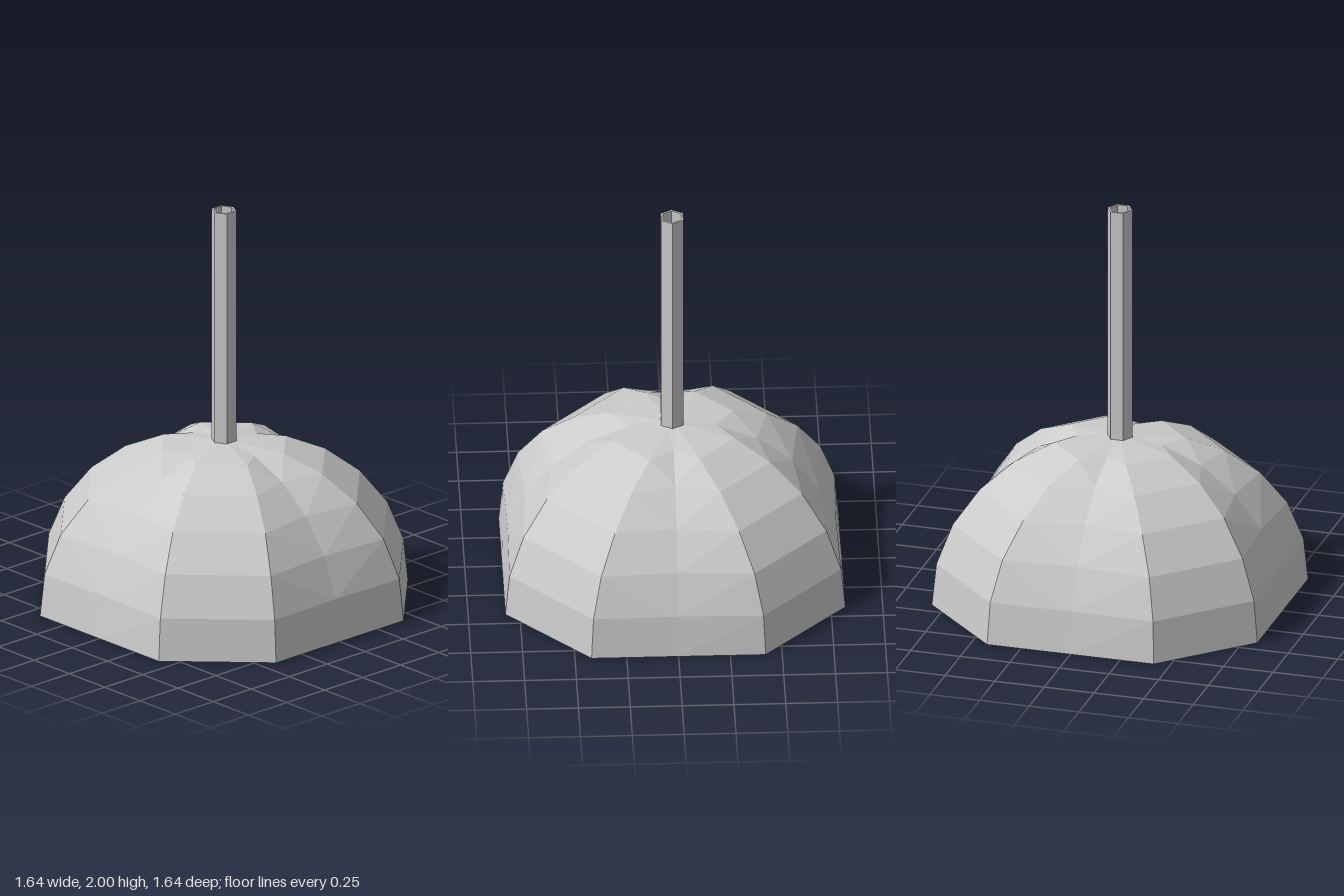
import * as THREE from 'three';

const R = 0.82; // dome radius
const HOLE = 0.053; // opening under the tube

// Corner positions (offset along a side, distance of the side) for each ring, base to top
const corners = [[0.42, 0.82], [0.41, 0.8], [0.37, 0.73], [0.3, 0.615], [0.215, 0.465], [0.12, 0.295]];

// One ring: four side midpoints on a sphere, with two corners flaring out around each
function ring(i) {
  const t = (i * Math.PI) / 12;
  const y = R * Math.sin(t);
  const m = R * Math.cos(t);
  const [a, b] = corners[i];
  const pts = [];
  for (let q = 0; q < 4; q++) {
    const c = Math.round(Math.cos((q * Math.PI) / 2));
    const s = Math.round(Math.sin((q * Math.PI) / 2));
    for (const [u, v] of [[b, -a], [m, 0], [b, a]]) pts.push([u * c - v * s, y, u * s + v * c]);
  }
  return pts;
}

function domeGeometry() {
  const rings = corners.map((_, i) => ring(i));
  // Small opening at the crown
  rings.push(rings[5].map(([x, , z]) => {
    const k = HOLE / Math.hypot(x, z);
    return [x * k, 0.815, z * k];
  }));
  const n = rings[0].length;
  const index = [];
  for (let i = 0; i < rings.length - 1; i++) {
    for (let j = 0; j < n; j++) {
      const a = i * n + j, b = i * n + ((j + 1) % n);
      const c = a + n, d = b + n;
      // Split mirrored about each side's midpoint
      if (j % 3 === 0) index.push(a, c, b, b, c, d);
      else index.push(a, c, d, a, d, b);
    }
  }
  const g = new THREE.BufferGeometry();
  g.setAttribute('position', new THREE.Float32BufferAttribute(rings.flat(2), 3));
  g.setIndex(index);
  g.computeVertexNormals();
  return g;
}

export function createModel() {
  const group = new THREE.Group();
  group.name = 'plunger';
  const material = new THREE.MeshStandardMaterial({
    color: 0xcccccc, flatShading: true, side: THREE.DoubleSide,
  });

  // Thin open cup
  const cup = new THREE.Mesh(domeGeometry(), material);
  cup.name = 'cup';
  group.add(cup);

  // Hollow six-sided handle
  const profile = [[0.062, 0.805], [0.062, 2], [0.05, 2], [0.05, 0.805], [0.062, 0.805]]
    .map(([x, y]) => new THREE.Vector2(x, y));
  const handle = new THREE.Mesh(new THREE.LatheGeometry(profile, 6), material);
  handle.rotation.y = Math.PI / 6;
  handle.name = 'handle';
  group.add(handle);

  return group;
}
